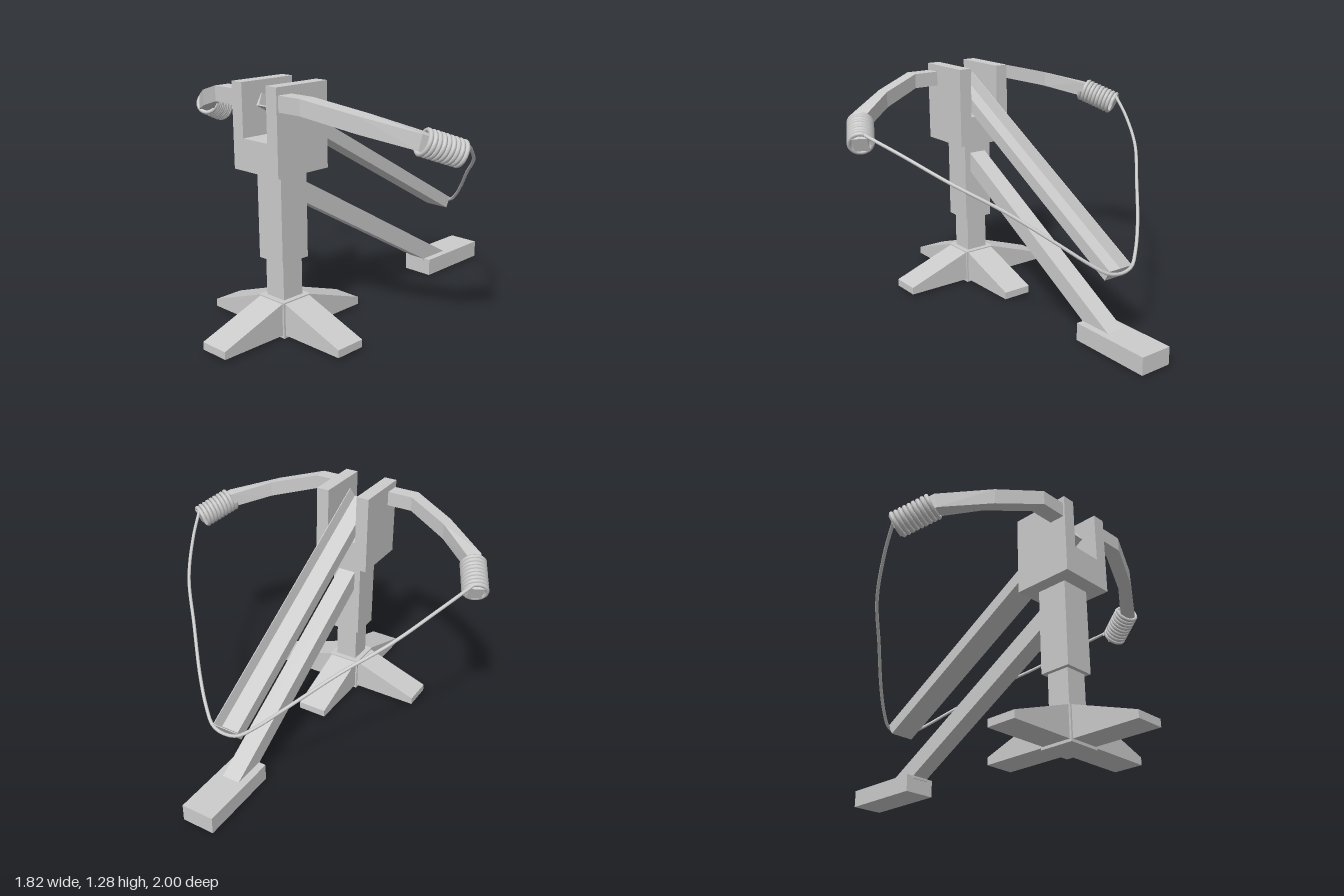
import * as THREE from 'three';
import { mergeGeometries } from 'three/addons/utils/BufferGeometryUtils.js';
import { ConvexGeometry } from 'three/addons/geometries/ConvexGeometry.js';

const V = (x, y, z) => new THREE.Vector3(x, y, z);
const flat = new THREE.MeshStandardMaterial({ color: 0xcccccc, flatShading: true });
const smooth = new THREE.MeshStandardMaterial({ color: 0xcccccc });
const AXIS_Z = 0.54; // centre line of the stand

export function createModel() {
  const model = new THREE.Group();
  model.name = 'crossbowTurret';

  const add = (name, geo, mat = flat) => {
    const mesh = new THREE.Mesh(geo, mat);
    mesh.name = name;
    model.add(mesh);
    return mesh;
  };
  // Box from its x half-width and its y and z ranges
  const box = (name, hx, y0, y1, z0, z1) =>
    add(name, new THREE.BoxGeometry(hx * 2, y1 - y0, z1 - z0))
      .position.set(0, (y0 + y1) / 2, (z0 + z1) / 2);
  // Extrusion of an outline, centred on its depth
  const prism = (pts, depth) => {
    const shape = new THREE.Shape(pts.map(([x, y]) => new THREE.Vector2(x, y)));
    return new THREE.ExtrudeGeometry(shape, { depth, bevelEnabled: false }).translate(0, 0, -depth / 2);
  };

  // Cross-shaped base with tapering legs
  const legs = [[-0.46, 0.015], [0.46, 0.015], [0.46, 0.055], [0.09, 0.185], [-0.09, 0.185], [-0.46, 0.055]];
  for (const [name, turn] of [['sideLegs', 0], ['frontBackLegs', Math.PI / 2]]) {
    const mesh = add(name, prism(legs, 0.165));
    mesh.rotation.y = turn;
    mesh.position.z = AXIS_Z;
  }
  box('baseHub', 0.093, 0, 0.19, AXIS_Z - 0.093, AXIS_Z + 0.093);

  // Telescoping post
  box('innerPost', 0.063, 0.18, 0.4, AXIS_Z - 0.063, AXIS_Z + 0.063);
  box('outerPost', 0.085, 0.39, 0.86, AXIS_Z - 0.085, AXIS_Z + 0.085);

  // Slotted head
  const head = [[-0.158, 0.85], [0.158, 0.85], [0.158, 1.28], [0.086, 1.28],
    [0.086, 1.01], [-0.086, 1.01], [-0.086, 1.28], [-0.158, 1.28]];
  add('head', prism(head, 0.325)).position.z = 0.5425;

  // Sloping strut and its foot, drawn in the z-y plane
  const strut = [[0.47, 0.684], [0.47, 0.794], [-0.72, 0.105], [-0.72, 0.09], [-0.53, 0.09], [-0.53, 0.105]];
  add('strut', prism(strut, 0.1)).rotation.y = -Math.PI / 2;
  box('foot', 0.09, 0.01, 0.105, -1, -0.535);

  // Grooved rail, tilted 30 degrees: thin floor with walls that taper upward
  const rail = new THREE.Group();
  rail.name = 'rail';
  rail.position.set(0, 0.39, -0.71);
  rail.rotation.x = -Math.PI / 6;
  model.add(rail);
  const L = 1.545;
  const groove = [[-0.073, 0], [0.073, 0], [0.073, 0.066], [0.069, 0.066],
    [0.056, 0.006], [-0.056, 0.006], [-0.069, 0.066], [-0.073, 0.066]];
  const channel = new THREE.Mesh(prism(groove, L).translate(0, 0, L / 2), flat);
  channel.name = 'railChannel';
  const stop = new THREE.Mesh(
    prism([[0, 0.003], [0.024, 0.003], [0.004, 0.064], [0, 0.064]], 0.13).rotateY(-Math.PI / 2), flat);
  stop.name = 'railStop';
  rail.add(channel, stop);

  // Bow limb stations: centre, half-width vector, half-height vector
  const stations = [
    [V(0.15, 1.203, 0.653), V(0, 0, 0.042), V(0, 0.039, 0)],
    [V(0.3, 1.203, 0.653), V(0, 0, 0.042), V(0, 0.039, 0)],
    [V(0.54, 1.143, 0.547), V(0, 0, 0.042), V(0, 0.041, 0)],
    [V(0.755, 1.075, 0.405), V(0.025, 0, 0.031), V(0.006, 0.038, -0.006)],
    [V(0.852, 0.998, 0.222), V(0.033, 0, 0.018), V(0.012, 0.034, -0.01)],
  ];
  const coilStart = V(0.757, 1.072, 0.4), coilEnd = V(0.85, 1.0, 0.225);
  const axis = coilEnd.clone().sub(coilStart);
  const side = V(axis.z, 0, -axis.x).normalize();
  const up = side.clone().cross(axis).normalize();
  const TURNS = 9;

  for (const [label, s] of [['left', 1], ['right', -1]]) {
    const mirror = p => V(p.x * s, p.y, p.z);
    const corners = ([c, u, v]) => [[1, 1], [1, -1], [-1, 1], [-1, -1]].map(
      ([a, b]) => mirror(c.clone().addScaledVector(u, a).addScaledVector(v, b)));
    const parts = stations.slice(1).map((st, i) =>
      new ConvexGeometry([...corners(stations[i]), ...corners(st)]));
    add(label + 'Limb', mergeGeometries(parts));

    // Cord wound round the limb tip
    const coil = [];
    for (let i = 0; i <= TURNS * 16; i++) {
      const a = i / 16 * Math.PI * 2;
      coil.push(mirror(coilStart.clone().addScaledVector(axis, i / (TURNS * 16))
        .addScaledVector(side, Math.cos(a) * 0.058).addScaledVector(up, Math.sin(a) * 0.058)));
    }
    add(label + 'Wrap', new THREE.TubeGeometry(new THREE.CatmullRomCurve3(coil), TURNS * 20, 0.0115, 8), smooth);
  }

  // Bowstring drawn back round the end of the rail
  const half = [[0.84, 1.05, 0.2], [0.75, 0.975, 0.02], [0.615, 0.86, -0.2], [0.435, 0.73, -0.4],
    [0.26, 0.58, -0.59], [0.15, 0.485, -0.69], [0.075, 0.435, -0.74]];
  const points = [...half.map(p => V(...p)), V(0, 0.422, -0.75),
    ...half.slice().reverse().map(([x, y, z]) => V(-x, y, z))];
  add('bowstring', new THREE.TubeGeometry(new THREE.CatmullRomCurve3(points), 96, 0.009, 8), smooth);

  return model;
}
